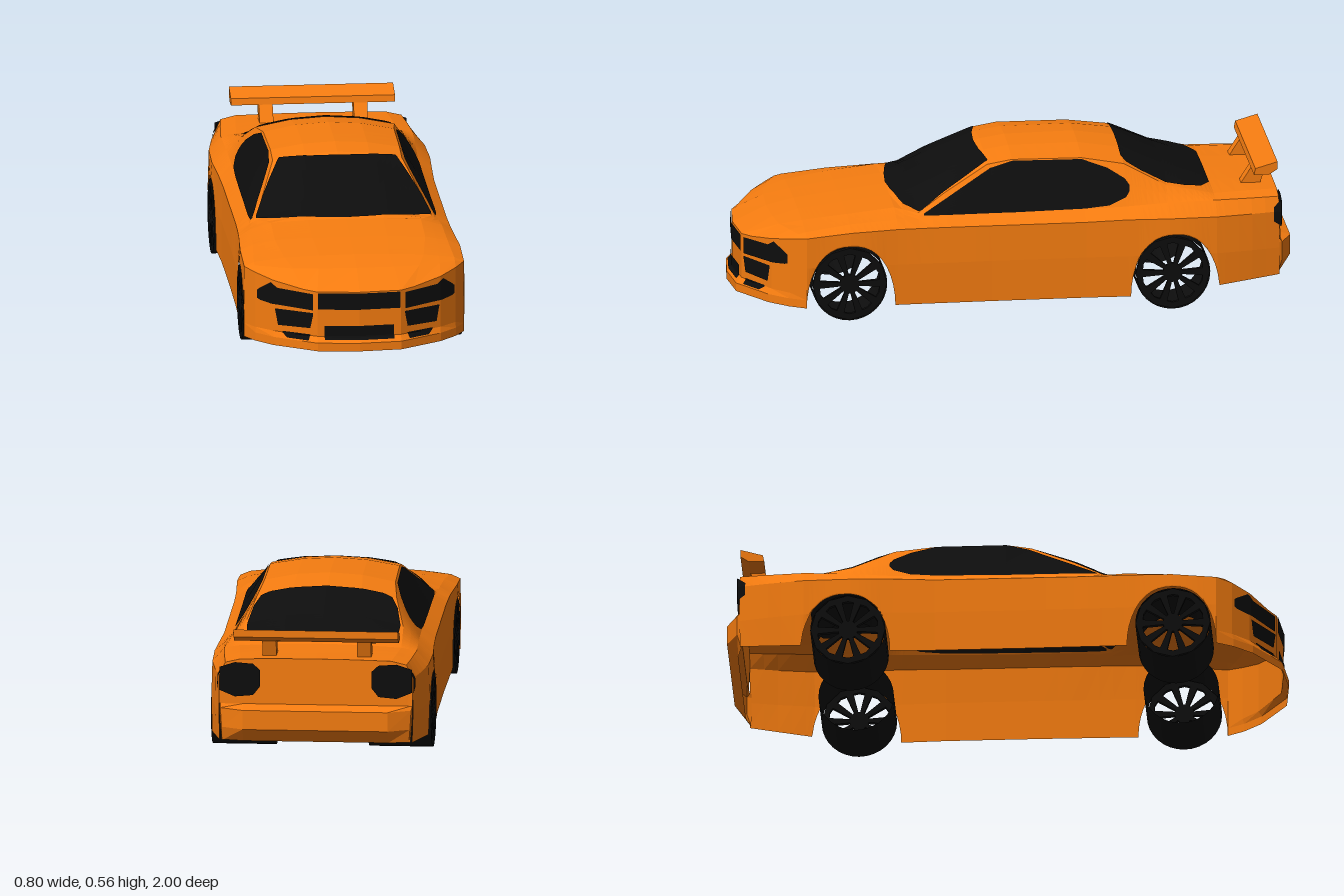
import * as THREE from 'three';

const V = (x, y, z) => new THREE.Vector3(x, y, z);
const paint = new THREE.MeshStandardMaterial({ color: 0xf57c10, flatShading: true, side: THREE.DoubleSide });
const black = new THREE.MeshStandardMaterial({ color: 0x0d0d0d, flatShading: true, side: THREE.DoubleSide });
const { lerp, clamp } = THREE.MathUtils;

// Body stations: z, sill x, mid x, shoulder x, y, belt x, y, roof/hood edge x, y, centre y
const STATIONS = [
  [0.76, 0.395, 0.397, 0.395, 0.310, 0.360, 0.325, 0.250, 0.338, 0.345],
  [0.60, 0.397, 0.398, 0.395, 0.325, 0.350, 0.345, 0.270, 0.360, 0.367],
  [0.43, 0.390, 0.390, 0.385, 0.330, 0.345, 0.355, 0.270, 0.378, 0.387],
  [0.35, 0.388, 0.388, 0.382, 0.330, 0.340, 0.352, 0.315, 0.368, 0.425],
  [0.25, 0.387, 0.387, 0.380, 0.330, 0.335, 0.360, 0.283, 0.430, 0.472],
  [0.09, 0.385, 0.385, 0.380, 0.330, 0.333, 0.362, 0.232, 0.515, 0.542],
  [0.00, 0.385, 0.385, 0.380, 0.330, 0.333, 0.362, 0.232, 0.530, 0.556],
  [-0.25, 0.385, 0.385, 0.380, 0.330, 0.333, 0.365, 0.235, 0.528, 0.559],
  [-0.40, 0.390, 0.390, 0.385, 0.335, 0.335, 0.370, 0.250, 0.505, 0.538],
  [-0.55, 0.395, 0.396, 0.392, 0.335, 0.340, 0.380, 0.285, 0.430, 0.475],
  [-0.72, 0.390, 0.392, 0.388, 0.335, 0.345, 0.385, 0.290, 0.395, 0.405],
  [-0.85, 0.365, 0.370, 0.368, 0.335, 0.335, 0.385, 0.280, 0.398, 0.402],
  [-0.95, 0.345, 0.348, 0.347, 0.335, 0.325, 0.385, 0.270, 0.398, 0.402],
];
const ARCHES = [0.6, -0.57], ARCH_HALF = 0.16;

// Lower edge of the side: sill, wheel arches, rear valance
function bottom(z) {
  for (const c of ARCHES) {
    const t = Math.abs(z - c) / ARCH_HALF;
    if (t < 1) return 0.05 + 0.225 * Math.pow(1 - Math.pow(t, 2.4), 0.5);
  }
  return z < -0.72 ? 0.08 + (-0.73 - z) * 0.09 : 0.05;
}

// Half cross-section at z, from the sill up to the centre line
function section(z) {
  let i = 0;
  while (i < STATIONS.length - 2 && z < STATIONS[i + 1][0]) i++;
  const a = STATIONS[i], b = STATIONS[i + 1], t = clamp((a[0] - z) / (a[0] - b[0]), 0, 1);
  const [, xb, xm, xs, ys, x3, y3, x5, y5, y7] = a.map((v, k) => lerp(v, b[k], t));
  const yb = bottom(z);
  return [V(xb, yb, z), V(xm, Math.max(0.2, yb + 0.005), z), V(xs, ys, z), V(x3, y3, z),
    V((x3 + x5) / 2, (y3 + y5) / 2, z), V(x5, y5, z), V(x5 / 2, lerp(y5, y7, 0.75), z), V(0, y7, z)];
}
const mirrored = half => [...half, ...half.slice(0, -1).reverse().map(p => V(-p.x, p.y, p.z))];

function bodyX(y, z) {
  const s = section(z);
  for (let i = 0; i < 7; i++)
    if (y >= s[i].y && y <= s[i + 1].y) return lerp(s[i].x, s[i + 1].x, (y - s[i].y) / (s[i + 1].y - s[i].y));
  return s[5].x;
}
function bodyY(x, z) {
  const s = section(z), ax = Math.abs(x);
  for (let i = 7; i > 0; i--)
    if (ax <= s[i - 1].x) return lerp(s[i].y, s[i - 1].y, (ax - s[i].x) / (s[i - 1].x - s[i].x));
  return s[2].y;
}

// Surface through rows of equally many points
function sheet(name, rows, mat) {
  const n = rows[0].length, index = [];
  for (let r = 0; r < rows.length - 1; r++)
    for (let c = 0; c < n - 1; c++) {
      const a = r * n + c, b = a + n;
      index.push(a, b, a + 1, a + 1, b, b + 1);
    }
  const g = new THREE.BufferGeometry().setFromPoints(rows.flat());
  g.setIndex(index);
  g.computeVertexNormals();
  const m = new THREE.Mesh(g, mat);
  m.name = name;
  return m;
}

// Dark panel laid on a surface; cols are [u, low, high]
function patch(name, cols, place) {
  const rows = [];
  for (let i = 0; i < cols.length - 1; i++)
    for (let k = i ? 1 : 0; k <= 6; k++) {
      const [u, lo, hi] = cols[i].map((v, j) => lerp(v, cols[i + 1][j], k / 6));
      rows.push(Array.from({ length: 13 }, (_, j) => place(u, lerp(lo, hi, j / 12))));
    }
  return sheet(name, rows, black);
}

// Front edge of the hood, outside to centre
const NOSE = [V(0.395, 0.31, 0.76), V(0.36, 0.302, 0.815), V(0.3, 0.287, 0.875),
  V(0.2, 0.268, 0.935), V(0.15, 0.264, 0.965), V(0, 0.264, 0.98)];
const lip = (y, z) => 0.02 * clamp((0.1 - y) / 0.02, 0, 1) * clamp((z - 0.76) / 0.2, 0, 1);
function fasciaZ(x, y) {
  const ax = Math.abs(x);
  let i = 0;
  while (i < 4 && ax < NOSE[i + 1].x) i++;
  const z = lerp(NOSE[i].z, NOSE[i + 1].z, (NOSE[i].x - ax) / (NOSE[i].x - NOSE[i + 1].x));
  return z + lip(y, z);
}

function extrude(shape, depth) {
  return new THREE.ExtrudeGeometry(shape, { depth, bevelEnabled: false, curveSegments: 6 });
}

// Hollow wide wheel with a ten-spoke outer face
function wheel(side, z) {
  const g = new THREE.Group(), R = 0.135, width = 0.228;
  g.name = 'wheel';
  const tyre = new THREE.Mesh(new THREE.CylinderGeometry(R, R, width, 32, 1, true).rotateZ(Math.PI / 2), black);
  tyre.name = 'tyre';
  const face = new THREE.Shape().absarc(0, 0, R - 0.001, 0, Math.PI * 2);
  for (let i = 0; i < 10; i++) {
    const a = (i + 0.5) * Math.PI / 5, at = (r, d) => new THREE.Vector2(r * Math.cos(a + d), r * Math.sin(a + d));
    face.holes.push(new THREE.Path([at(0.035, -0.1), at(0.108, -0.19), at(0.111, 0), at(0.108, 0.19), at(0.035, 0.1)]));
  }
  const spokes = new THREE.Mesh(extrude(face, 0.015).rotateY(Math.PI / 2), black);
  spokes.name = 'spokes';
  spokes.position.x = side > 0 ? width / 2 - 0.016 : -width / 2 + 0.001;
  g.add(tyre, spokes);
  g.position.set(side * 0.281, R, z);
  return g;
}

export function createModel() {
  const car = new THREE.Group();
  car.name = 'car';

  // Main shell, sampled finely round the arches
  const zs = STATIONS.map(s => s[0]);
  for (let z = 0.4; z > -0.95; z -= 0.05) zs.push(z);
  for (const c of ARCHES)
    for (let k = 0; k <= 20; k++) zs.push(c - ARCH_HALF * 1.0001 * Math.cos(k * Math.PI / 20));
  const sorted = zs.filter(z => z <= 0.7601).sort((a, b) => b - a).filter((z, i, l) => !i || l[i - 1] - z > 1e-4);
  car.add(sheet('bodyShell', sorted.map(z => mirrored(section(z))), paint));

  // Hood front and front bumper
  const hoodEdge = section(0.76).slice(2);
  const crown = NOSE.map((p, j) => p.clone().lerp(hoodEdge[j], 0.55).add(V(0, 0.013 * Math.min(1, j / 3), 0)));
  car.add(sheet('hoodFront', [NOSE, crown, hoodEdge].map(mirrored), paint));
  const bumper = [0.19, 0.1, 0.08, 0.05].map(y => NOSE.map(p => V(p.x, y, p.z + lip(y, p.z))));
  car.add(sheet('frontBumper', [NOSE, ...bumper].map(mirrored), paint));

  // Rear panel and rear bumper
  const tail = section(-0.95).slice(2);
  car.add(sheet('rearPanel', [tail, tail.map(p => V(p.x, 0.235, -0.955))].map(mirrored), paint));
  const rearRows = [[0.235, 0.347, -0.955, -0.95], [0.22, 0.347, -1, -0.96], [0.15, 0.343, -1, -0.96], [0.1, 0.338, -0.96, -0.945]]
    .map(([y, w, zc, zs]) => mirrored([V(w, y, -0.945), V(w - 0.005, y, zs), V(0.26, y, zc), V(0, y, zc)]));
  car.add(sheet('rearBumper', rearRows, paint));

  // Glass, on the outer and inner face of the shell
  const screen = [[0.315, 0.347, 0.335], [0.25, 0.395, 0.175], [0.21, 0.405, 0.085], [0.1, 0.422, 0.105], [0, 0.43, 0.112]];
  const windscreen = [...screen, ...screen.slice(0, -1).reverse().map(([x, a, b]) => [-x, a, b])];
  const rearGlass = [[-0.395, 0.2], [-0.41, 0.235], [-0.46, 0.258], [-0.55, 0.275], [-0.62, 0.272], [-0.68, 0.25], [-0.715, 0.19]];
  const sideGlass = [[0.33, 0.363, 0.368], [0.08, 0.364, 0.505], [0, 0.364, 0.527], [-0.25, 0.368, 0.525], [-0.34, 0.376, 0.495], [-0.4, 0.4, 0.46], [-0.415, 0.42, 0.44]];
  for (const off of [0.005, -0.005]) {
    car.add(patch('windscreen', windscreen, (x, z) => V(x, bodyY(x, z) + off, z)));
    car.add(patch('rearWindow', rearGlass.map(([z, x]) => [z, -x, x]), (z, x) => V(x, bodyY(x, z) + off, z)));
    for (const s of [1, -1])
      car.add(patch('sideWindow', sideGlass, (z, y) => V(s * (bodyX(y, z) + off), y, z)));
  }

  // Grille, intakes and lamps
  const onFront = s => (x, y) => V(s * x, y, fasciaZ(x, y) + 0.004);
  car.add(patch('grille', [[-0.148, 0.2, 0.26], [0, 0.2, 0.26], [0.148, 0.2, 0.26]], onFront(1)));
  car.add(patch('lowerIntake', [[-0.125, 0.09, 0.14], [0, 0.09, 0.14], [0.125, 0.09, 0.14]], onFront(1)));
  for (const s of [1, -1]) {
    car.add(patch('headlamp', [[0.166, 0.195, 0.255], [0.287, 0.2, 0.262], [0.31, 0.2, 0.279], [0.345, 0.205, 0.25], [0.355, 0.21, 0.24]], onFront(s)));
    car.add(patch('sideIntake', [[0.165, 0.18, 0.185], [0.175, 0.128, 0.185], [0.285, 0.125, 0.185], [0.295, 0.18, 0.185]], onFront(s)));
    car.add(patch('bumperSlot', [[0.175, 0.102, 0.105], [0.182, 0.085, 0.105], [0.255, 0.085, 0.105], [0.27, 0.1, 0.105]], onFront(s)));
    car.add(patch('tailLamp', [[0.2, 0.3, 0.36], [0.225, 0.268, 0.383], [0.29, 0.262, 0.388], [0.345, 0.285, 0.37]], (x, y) => V(s * x, y, -0.96)));
    car.add(patch('tailLampSide', [[-0.93, 0.3, 0.35], [-0.958, 0.28, 0.375]], (z, y) => V(s * (bodyX(y, Math.max(z, -0.95)) + 0.004), y, z)));
    for (const z of [0.605, -0.56]) car.add(wheel(s, z));
  }

  // Rear wing on two struts, profiles drawn as (-z, y)
  const wingPart = (name, pts, x, width) => {
    const shape = new THREE.Shape(pts.map(p => new THREE.Vector2(...p)));
    const m = new THREE.Mesh(extrude(shape, width).rotateY(Math.PI / 2), paint);
    m.name = name;
    m.position.x = x - width / 2;
    return m;
  };
  car.add(wingPart('wing', [[0.865, 0.458], [0.92, 0.458], [0.95, 0.478], [0.95, 0.505], [0.87, 0.482]], 0, 0.59));
  for (const s of [1, -1])
    car.add(wingPart('wingStrut', [[0.83, 0.4], [0.9, 0.4], [0.92, 0.462], [0.87, 0.462]], s * 0.17, 0.05));

  return car;
}
